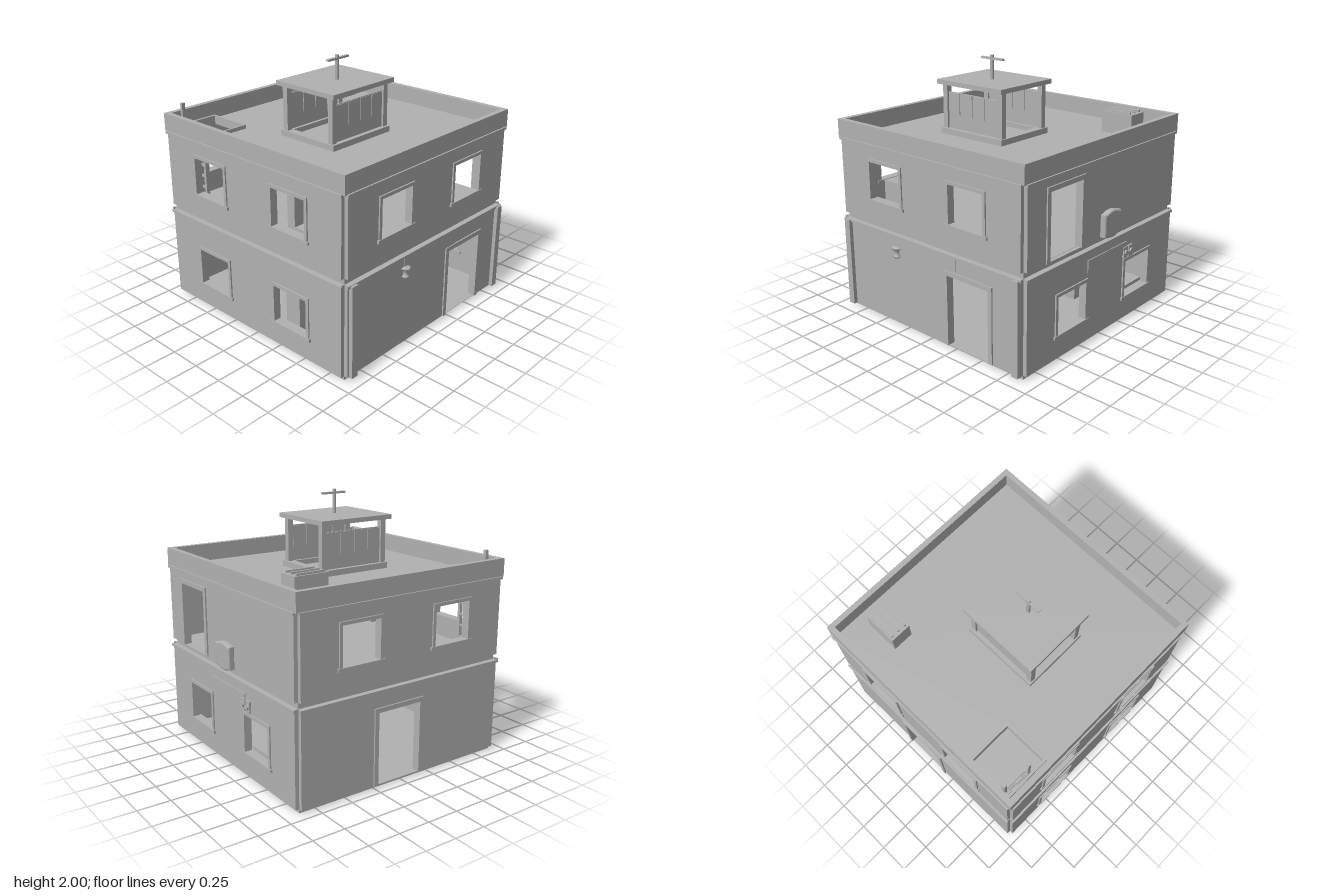
import * as THREE from 'three';

const C = -0.0175;      // centre of the house plan on x and z
const FACE = 0.925;     // outer wall distance from the centre
const SPAN = 0.895;     // half width of a wall panel

export function createModel() {
  const model = new THREE.Group();
  model.name = 'house';
  const grey = new THREE.MeshStandardMaterial({ color: 0xb2b2b2 });
  grey.name = 'plaster grey';

  const add = (parent, name, geometry) => {
    const m = new THREE.Mesh(geometry, grey);
    m.name = name;
    parent.add(m);
    return m;
  };
  // box from its limits
  const box = (parent, name, x0, x1, y0, y1, z0, z1) => {
    const m = add(parent, name, new THREE.BoxGeometry(x1 - x0, y1 - y0, z1 - z0));
    m.position.set((x0 + x1) / 2, (y0 + y1) / 2, (z0 + z1) / 2);
    return m;
  };
  const outline = (T, [a, b, c, d]) =>
    new T([[a, c], [b, c], [b, d], [a, d]].map(p => new THREE.Vector2(...p)));
  // rectangle [u0, u1, v0, v1] with rectangular holes, extruded from z0 to z1
  const panel = (rect, holes, z0, z1) => {
    const s = outline(THREE.Shape, rect);
    for (const h of holes) s.holes.push(outline(THREE.Path, h));
    return new THREE.ExtrudeGeometry(s, { depth: z1 - z0, bevelEnabled: false }).translate(0, 0, z0);
  };
  // the same panel lying flat, v runs along -z
  const flat = (rect, holes, y0, y1) => panel(rect, holes, y0, y1).rotateX(-Math.PI / 2);

  // floors
  const lo = C - SPAN, hi = C + SPAN;
  box(model, 'baseSlab', lo, hi, 0, 0.03, lo, hi);
  box(model, 'upperFloor', lo, hi, 0.74, 0.795, lo, hi);

  // walls, each seen from outside with u to the right of the centre
  const UP = [0.79, 1.395], DOWN = [0.03, 0.745];
  const windowAt = (u, y) => ({ hole: [u - 0.16, u + 0.16, y, y + 0.29], sill: true });
  const doorAt = (u0, u1, y0, y1) => ({ hole: [u0, u1, y0, y1], sill: false });
  const pairs = y => [windowAt(-0.41, y), windowAt(0.41, y)];
  const walls = [
    ['front', 0, [doorAt(0.2225, 0.6125, 0.03, 0.58)], pairs(0.97)],
    ['right', 1, pairs(0.215), [doorAt(-0.6675, -0.3175, 0.79, 1.29)]],
    ['back', 2, [doorAt(-0.2525, 0.1225, 0.03, 0.58)], pairs(0.97)],
    ['left', 3, pairs(0.215), pairs(0.97)],
  ];
  const faces = {};
  for (const [side, turn, lower, upper] of walls) {
    const g = new THREE.Group();
    g.name = side + 'Wall';
    g.position.set(C, 0, C);
    g.rotation.y = turn * Math.PI / 2;
    model.add(g);
    faces[side] = g;
    for (const [[y0, y1], openings] of [[DOWN, lower], [UP, upper]]) {
      // door holes stop just above the panel edge so the outline stays closed
      const holes = openings.map(({ hole: [a, b, c, d] }) => [a, b, Math.max(c, y0 + 0.003), d]);
      add(g, 'wallPanel', panel([-SPAN, SPAN, y0, y1], holes, FACE - 0.05, FACE));
      box(g, 'corniceBand', -SPAN - 0.01, SPAN + 0.01, y1 - 0.02, y1, FACE, FACE + 0.012);
      for (const { hole: [a, b, c, d], sill } of openings) {
        const t = sill ? 0.025 : 0.035;
        box(g, 'frameTop', a - t, b + t, d, d + t, FACE - 0.05, FACE + 0.011);
        for (const [p, q] of [[a - t, a], [b, b + t]])
          box(g, 'frameSide', p, q, c, d, FACE - 0.05, FACE + 0.011);
        if (sill) box(g, 'windowSill', a - 0.037, b + 0.037, c - 0.025, c, FACE - 0.06, FACE + 0.016);
      }
    }
  }

  // front: pillars, sign board and lamp
  for (const x of [-0.87, 0.85]) box(model, 'pillar', x - 0.028, x + 0.028, 0.03, 0.74, 0.88, 0.938);
  box(model, 'frontSign', -0.32, 0.285, 0.615, 0.725, 0.9, 0.911);
  const lampProfile = [[0, 0], [0.03, 0], [0.03, 0.012], [0.018, 0.025], [0.018, 0.055],
    [0.037, 0.065], [0.037, 0.08], [0, 0.08]].map(p => new THREE.Vector2(...p));
  add(model, 'frontLamp', new THREE.LatheGeometry(lampProfile, 8)).position.set(-0.318, 0.575, 0.915);

  // right side: sign, spotlights and rounded dish
  box(model, 'sideSign', 0.9, 0.915, 0.565, 0.665, -0.28, 0.21);
  for (const [z, y] of [[-0.262, 0.582], [-0.328, 0.58]]) {
    box(model, 'spotlight', 0.9, 0.922, y - 0.045, y + 0.045, z - 0.027, z + 0.027);
    const lens = add(model, 'spotlightLens', new THREE.CylinderGeometry(0.02, 0.02, 0.014, 16));
    lens.rotation.z = Math.PI / 2;
    lens.position.set(0.927, y, z);
  }
  const dish = new THREE.Shape();
  dish.moveTo(-0.1, -0.085);
  dish.lineTo(-0.07, -0.09);
  dish.quadraticCurveTo(0, -0.12, 0.07, -0.09);
  dish.lineTo(0.1, -0.085);
  dish.lineTo(0.1, 0.085);
  dish.lineTo(0.07, 0.09);
  dish.quadraticCurveTo(0, 0.12, -0.07, 0.09);
  dish.lineTo(-0.1, 0.085);
  const dishMesh = add(model, 'wallDish', new THREE.ExtrudeGeometry(dish,
    { depth: 0.03, bevelThickness: 0.012, bevelSize: 0.012, bevelOffset: -0.012, bevelSegments: 2 }));
  dishMesh.rotation.y = Math.PI / 2;
  dishMesh.position.set(0.91, 0.885, -0.033);

  // roof with hatch opening and parapet
  const hatch = [-0.86, -0.515, 0.535, 0.875];
  add(model, 'roofSlab', flat([lo, hi, -hi, -lo], [hatch], 1.355, 1.395));
  add(model, 'parapet', flat([C - FACE, C + FACE, -C - FACE, -C + FACE],
    [[C - 0.883, C + 0.883, -C - 0.883, -C + 0.883]], 1.39, 1.53));
  add(model, 'hatchFrame', flat([-0.88, -0.5, 0.52, 0.895], [hatch], 1.38, 1.425));

  // ladder below the hatch
  box(model, 'ladderPost', -0.83, -0.802, 0.795, 1.595, -0.885, -0.862);
  box(model, 'ladderPost', -0.83, -0.802, 0.795, 1.45, -0.645, -0.622);
  for (let i = 0; i < 7; i++) {
    const y = 0.87 + i * 0.09;
    box(model, 'ladderRung', -0.825, -0.807, y, y + 0.015, -0.865, -0.64);
  }

  // roof shelter
  const shelter = new THREE.Group();
  shelter.name = 'roofShelter';
  model.add(shelter);
  add(shelter, 'plinth', flat([-0.425, 0.195, -0.325, 0.21], [[-0.36, 0.13, -0.255, 0.14]], 1.39, 1.44));
  box(shelter, 'shelterFloor', -0.37, 0.14, 1.39, 1.4, -0.15, 0.26);
  box(shelter, 'shelterRoof', -0.44, 0.21, 1.78, 1.815, -0.232, 0.343);
  for (const x of [-0.392, 0.162])
    for (const z of [-0.17, 0.283])
      box(shelter, 'post', x - 0.022, x + 0.022, 1.4, 1.78, z - 0.022, z + 0.022);
  for (const z of [-0.17, 0.283]) {
    box(shelter, 'louvrePanel', -0.372, 0.142, 1.43, 1.72, z - 0.006, z + 0.006);
    for (let i = 0; i < 4; i++) {
      const x = -0.307 + i * 0.128;
      box(shelter, 'louvreLeaf', x - 0.055, x + 0.055, 1.55, 1.715, z - 0.012, z + 0.012);
    }
  }

  // antenna
  const mast = add(model, 'antennaMast', new THREE.CylinderGeometry(0.015, 0.015, 0.19, 8));
  mast.position.set(-0.12, 1.905, 0.075);
  box(model, 'antennaBar', -0.22, -0.003, 1.965, 1.98, 0.062, 0.088);

  // roof cooling unit
  box(model, 'coolingUnit', 0.48, 0.75, 1.39, 1.56, -0.69, -0.525);
  for (const z of [-0.668, -0.607, -0.546])
    box(model, 'coolingSlat', 0.5, 0.725, 1.56, 1.575, z - 0.009, z + 0.009);

  // upstairs furniture
  box(model, 'desk', -0.86, -0.65, 0.795, 0.975, 0.37, 0.55);
  box(model, 'deskLamp', -0.78, -0.75, 0.975, 1.11, 0.45, 0.475);
  box(model, 'cabinet', -0.86, -0.68, 0.795, 1.2, 0.3, 0.37);

  // downstairs furniture
  box(model, 'tableTop', 0.34, 0.84, 0.21, 0.235, -0.62, -0.25);
  box(model, 'tableCabinet', 0.345, 0.44, 0.03, 0.21, -0.6, -0.28);
  box(model, 'tableLeg', 0.79, 0.83, 0.03, 0.21, -0.6, -0.28);
  box(model, 'cupboard', -0.86, -0.65, 0.03, 0.43, 0.265, 0.4);
  const hook = new THREE.CatmullRomCurve3([[0.5, 0.74, -0.34], [0.5, 0.38, -0.34], [0.5, 0.345, -0.37]]
    .map(p => new THREE.Vector3(...p)), false, 'catmullrom', 0.1);
  add(model, 'hangingPipe', new THREE.TubeGeometry(hook, 16, 0.006, 6));

  return model;
}
